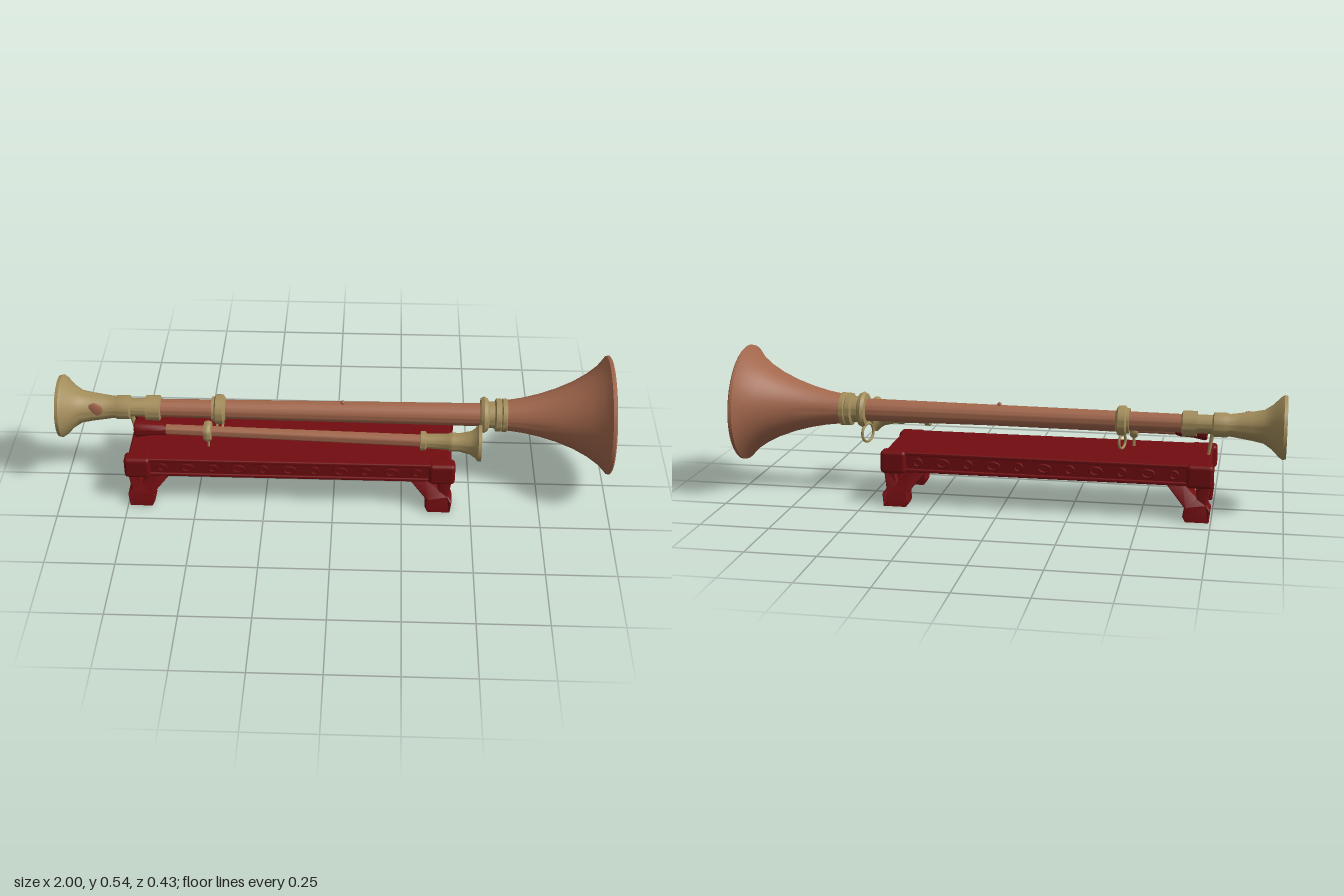
import * as THREE from 'three';
import { toCreasedNormals } from 'three/addons/utils/BufferGeometryUtils.js';
import { RoundedBoxGeometry } from 'three/addons/geometries/RoundedBoxGeometry.js';

const material = (name, color, side = THREE.FrontSide) => {
  const m = new THREE.MeshStandardMaterial({ color, side });
  m.name = name;
  return m;
};

export function createModel() {
  const copper = material('copper', 0xa2674c, THREE.DoubleSide);
  const brass = material('brass', 0xa38d5b, THREE.DoubleSide);
  const red = material('red lacquer', 0x720d10, THREE.DoubleSide);
  const darkRed = material('dark red', 0x3c1016, THREE.DoubleSide);
  const model = new THREE.Group();

  const add = (parent, name, geometry, mat, x = 0, y = 0, z = 0) => {
    const mesh = new THREE.Mesh(geometry, mat);
    mesh.name = name;
    mesh.position.set(x, y, z);
    parent.add(mesh);
    return mesh;
  };
  // Turned part along the x axis, from [x, radius] pairs
  const turned = (parent, name, profile, mat, segments = 40) => {
    const g = new THREE.LatheGeometry(profile.map(([x, r]) => new THREE.Vector2(r, x)), segments);
    g.rotateZ(-Math.PI / 2);
    return add(parent, name, toCreasedNormals(g, 0.7), mat);
  };
  const group = (name, x, y, z) => {
    const g = new THREE.Group();
    g.name = name;
    g.position.set(x, y, z);
    model.add(g);
    return g;
  };

  // Long horn
  const horn = group('longHorn', 0, 0.315, -0.003);
  turned(horn, 'mouthpiece', [
    [-0.86, 0.02], [-0.92, 0.04], [-0.97, 0.085], [-0.99, 0.108], [-1, 0.112], [-0.988, 0.115], [-0.975, 0.106],
    [-0.95, 0.08], [-0.92, 0.06], [-0.88, 0.052], [-0.84, 0.046], [-0.80, 0.04], [-0.79, 0.044], [-0.745, 0.044],
    [-0.74, 0.034], [-0.685, 0.034], [-0.685, 0.046], [-0.635, 0.046], [-0.63, 0.034]], brass);
  turned(horn, 'mouthpieceThroat', [[-0.905, 0.001], [-0.905, 0.034]], copper, 20);
  const patch = add(horn, 'copperPatch', new THREE.SphereGeometry(1, 20, 12), copper, -0.865, 0.014, 0.042);
  patch.scale.set(0.028, 0.03, 0.009);
  turned(horn, 'mainTube', [[-0.64, 0.033], [0.56, 0.042]], copper);
  turned(horn, 'middleRing', [
    [-0.445, 0.035], [-0.445, 0.046], [-0.435, 0.046], [-0.43, 0.054], [-0.405, 0.054], [-0.4, 0.046],
    [-0.395, 0.035]], brass);
  turned(horn, 'collar', [
    [0.525, 0.04], [0.528, 0.06], [0.54, 0.066], [0.553, 0.06], [0.558, 0.048], [0.578, 0.048], [0.583, 0.06],
    [0.6, 0.06], [0.603, 0.056], [0.607, 0.061], [0.622, 0.061], [0.626, 0.05]], brass);
  add(horn, 'tubeStud', new THREE.SphereGeometry(0.008, 12, 8), copper, 0.03, 0.041, 0);

  // Flared bell with a thick rim
  const bell = new THREE.Group();
  bell.name = 'bell';
  bell.position.x = 0.62;
  bell.rotation.z = 0.03;
  horn.add(bell);
  turned(bell, 'bellShell', [
    [0, 0.055], [0.06, 0.064], [0.12, 0.078], [0.18, 0.097], [0.24, 0.122], [0.29, 0.15], [0.33, 0.18],
    [0.352, 0.205], [0.358, 0.213], [0.368, 0.214], [0.373, 0.208], [0.366, 0.198], [0.33, 0.165], [0.28, 0.135],
    [0.22, 0.106], [0.15, 0.078], [0.08, 0.055], [0.02, 0.04]], copper, 56);
  turned(bell, 'bellThroat', [[0.025, 0.042], [0.025, 0.001]], darkRed, 32);

  // Short pipe lying beside the horn
  const pipe = group('shortPipe', 0, 0.272, 0.091);
  pipe.rotation.y = -0.038;
  turned(pipe, 'pipeMouthpiece', [
    [-0.715, 0.001], [-0.72, 0.03], [-0.71, 0.033], [-0.67, 0.025], [-0.62, 0.023], [-0.6, 0.016]], red, 24);
  turned(pipe, 'pipeTube', [[-0.63, 0.018], [0.34, 0.022]], copper, 28);
  turned(pipe, 'pipeRing', [
    [-0.47, 0.018], [-0.468, 0.034], [-0.46, 0.038], [-0.45, 0.038], [-0.443, 0.034], [-0.44, 0.018]], brass, 28);
  turned(pipe, 'pipeBell', [
    [0.31, 0.02], [0.312, 0.035], [0.33, 0.035], [0.334, 0.027], [0.41, 0.029], [0.418, 0.034], [0.43, 0.034],
    [0.45, 0.033], [0.49, 0.042], [0.51, 0.055], [0.518, 0.065], [0.53, 0.065], [0.53, 0.056]], brass, 32);
  turned(pipe, 'pipeBellInside', [[0.53, 0.056], [0.51, 0.042], [0.46, 0.022], [0.45, 0.001]], copper, 32);

  // Hanging rings and small props under the horn
  const ring = (name, r, x, y, z, turn) => {
    const m = add(model, name, new THREE.TorusGeometry(r, 0.005, 8, 28), brass, x, y, z);
    m.rotation.y = turn;
  };
  ring('collarRing', 0.034, 0.525, 0.23, -0.01, 1.2);
  ring('middleHangingRing', 0.026, -0.42, 0.24, -0.01, 1.2);
  add(model, 'rearProp', new THREE.CylinderGeometry(0.008, 0.006, 0.085, 10), brass, -0.735, 0.245, 0).rotation.z = 0.15;
  add(model, 'pipeProp', new THREE.CylinderGeometry(0.005, 0.005, 0.06, 8), brass, -0.455, 0.225, 0.072);

  // Stand: long slab with heavier corners and round studs along the sides
  const stand = group('stand', -0.158, 0, 0);
  add(stand, 'slab', new RoundedBoxGeometry(1.17, 0.076, 0.31, 2, 0.01), red, 0, 0.165, 0);
  for (const sz of [-1, 1]) {
    add(stand, 'sideRail', new RoundedBoxGeometry(1.16, 0.014, 0.02, 2, 0.005), red, 0, 0.196, sz * 0.15);
    add(stand, 'lowerRail', new RoundedBoxGeometry(1.16, 0.014, 0.02, 2, 0.005), red, 0, 0.134, sz * 0.15);
    for (let i = -5; i <= 5; i++) {
      const stud = add(stand, 'sideStud', new THREE.TorusGeometry(0.014, 0.004, 6, 16), red, i * 0.092, 0.165, sz * 0.155);
      stud.scale.x = i % 2 ? 1 : 1.5;
    }
  }

  // Apron spanning z at each end, pierced and scalloped
  const apronShape = new THREE.Shape();
  apronShape.moveTo(-0.12, 0.13);
  apronShape.lineTo(-0.12, 0.08);
  apronShape.quadraticCurveTo(-0.06, 0.07, 0, 0.082);
  apronShape.quadraticCurveTo(0.06, 0.07, 0.12, 0.08);
  apronShape.lineTo(0.12, 0.13);
  for (const [z, w] of [[-0.055, 0.012], [-0.024, 0.008], [0.024, 0.008], [0.055, 0.012]]) {
    const hole = new THREE.Path();
    hole.absellipse(z, 0.101, w, 0.01, 0, Math.PI * 2, true);
    apronShape.holes.push(hole);
  }
  const apronGeometry = new THREE.ExtrudeGeometry(apronShape, { depth: 0.018, bevelEnabled: false, curveSegments: 10 });
  apronGeometry.translate(0, 0, -0.009);
  apronGeometry.rotateY(Math.PI / 2);

  // Leg: block foot, outer post and slanted brace; the upper part leans inward
  const leg = new THREE.Shape([
    [0.004, 0], [0.08, 0], [0.087, 0.02], [0.082, 0.052], [0.15, 0.128], [0.095, 0.128], [0.045, 0.078],
    [0.03, 0.128], [0, 0.128], [0.012, 0.06], [0, 0.045]].map(([x, y]) => new THREE.Vector2(x, y)));

  for (const sx of [-1, 1]) {
    add(stand, 'endApron', apronGeometry, red, sx * 0.545, 0, 0);
    for (const sz of [-1, 1]) {
      add(stand, 'cornerBlock', new RoundedBoxGeometry(0.095, 0.084, 0.055, 3, 0.014), red, sx * 0.55, 0.163, sz * 0.142);
      const swag = new THREE.QuadraticBezierCurve3(
        new THREE.Vector3(0, 0.082, sz * 0.1), new THREE.Vector3(0, 0.064, sz * 0.05), new THREE.Vector3(0, 0.084, 0));
      add(stand, 'swag', new THREE.TubeGeometry(swag, 12, 0.004, 6), brass, sx * 0.53, 0, 0);

      const g = new THREE.ExtrudeGeometry(leg, {
        depth: 0.056, bevelEnabled: true, bevelSize: 0.005, bevelThickness: 0.008, bevelSegments: 2 });
      const p = g.attributes.position;
      for (let i = 0; i < p.count; i++) {
        const y = Math.max(p.getY(i), 0.002);
        const lean = THREE.MathUtils.smoothstep(y, 0.04, 0.08) * 0.032;
        p.setXYZ(i, p.getX(i) - 0.585, y, p.getZ(i) + 0.113 - lean);
      }
      g.computeVertexNormals();
      const mesh = add(stand, 'leg', toCreasedNormals(g, 0.5), red);
      mesh.scale.set(-sx, 1, sz);
    }
  }
  return model;
}
